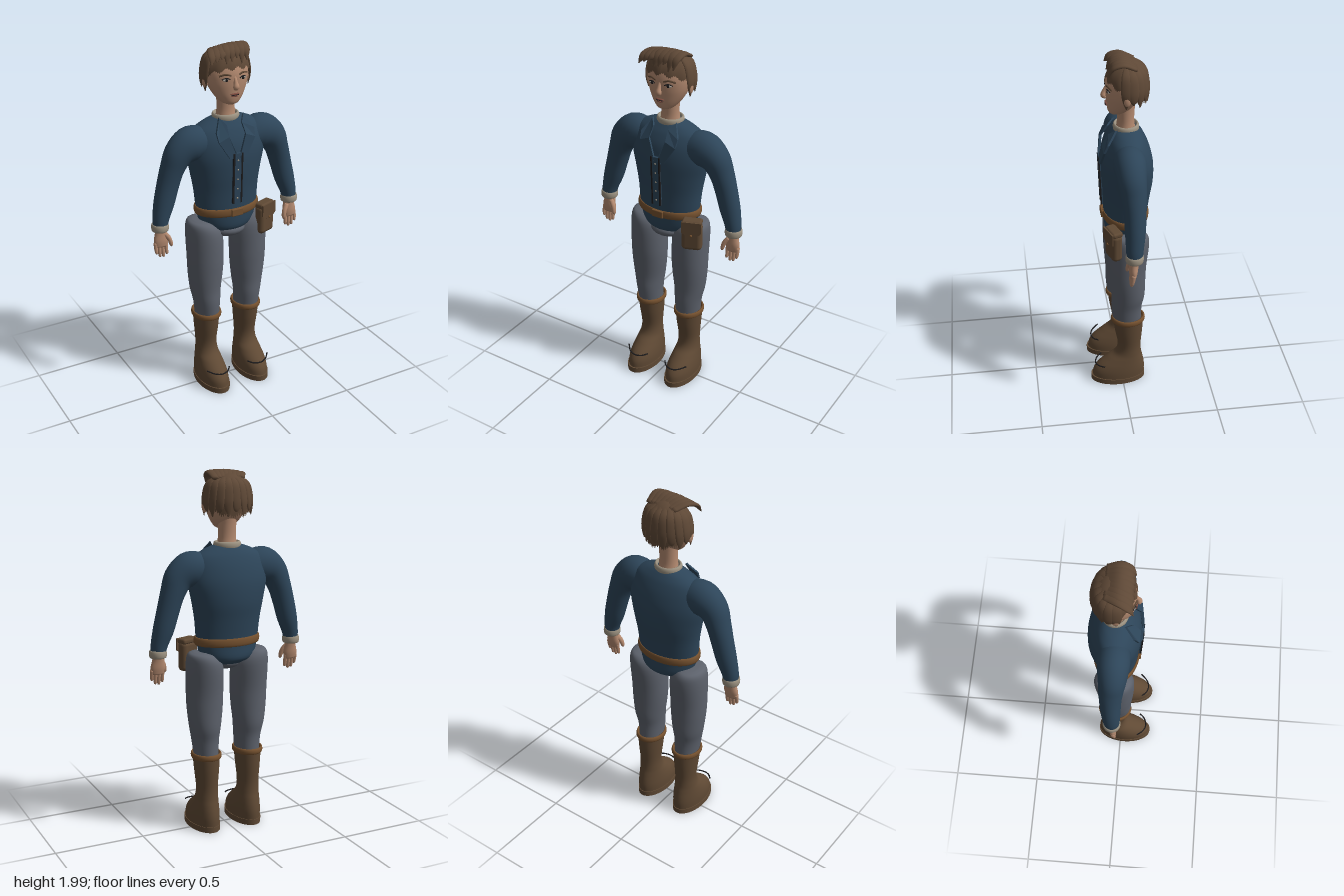
import * as THREE from 'three';
import { RoundedBoxGeometry } from 'three/addons/geometries/RoundedBoxGeometry.js';

const V = (x, y, z) => new THREE.Vector3(x, y, z);
const lerp = THREE.MathUtils.lerp;

// Smooth closed tube through rows [x, y, z, radiusA, radiusB]; ref sets the direction of radiusB
function sweep(rows, { ref = V(0, 0, 1), flat = false, seg = 28, steps = 30 } = {}) {
  const path = new THREE.CatmullRomCurve3(rows.map(r => V(r[0], r[1], r[2])), false, 'catmullrom');
  const size = new THREE.CatmullRomCurve3(rows.map(r => V(r[3], r[4], 0)), false, 'catmullrom');
  const up = V(0, Math.sign(rows[rows.length - 1][1] - rows[0][1]), 0);
  const pos = [], idx = [];
  for (let i = 0; i <= steps; i++) {
    const c = path.getPoint(i / steps), r = size.getPoint(i / steps);
    const t = flat ? up : path.getTangent(i / steps);
    const v = ref.clone().addScaledVector(t, -ref.dot(t)).normalize();
    const u = v.clone().cross(t);
    for (let j = 0; j < seg; j++) {
      const a = j / seg * Math.PI * 2;
      const p = c.clone().addScaledVector(u, Math.cos(a) * r.x).addScaledVector(v, Math.sin(a) * r.y);
      pos.push(p.x, p.y, p.z);
      if (i < steps) {
        const k = i * seg + j, n = i * seg + (j + 1) % seg;
        idx.push(k, n, k + seg, n, n + seg, k + seg);
      }
    }
  }
  // end caps
  const a = rows[0], b = rows[rows.length - 1], s = (steps + 1) * seg;
  pos.push(a[0], a[1], a[2], b[0], b[1], b[2]);
  for (let j = 0; j < seg; j++) {
    const n = (j + 1) % seg, e = steps * seg;
    idx.push(s, n, j, s + 1, e + j, e + n);
  }
  const g = new THREE.BufferGeometry();
  g.setAttribute('position', new THREE.Float32BufferAttribute(pos, 3));
  g.setIndex(idx);
  g.computeVertexNormals();
  return g;
}

// Horizontal rings from rows [y, half width, front z, back z] around x
const stack = (x, rows, opt) =>
  sweep(rows.map(([y, w, f, b]) => [x, y, (f + b) / 2, w, (f - b) / 2]), { flat: true, ...opt });
const ball = (x, y, z, a, b, c) => new THREE.SphereGeometry(1, 20, 14).scale(a, b, c).translate(x, y, z);
// Rounded band around a limb or waist
const band = (x, y, z, rx, rz, h, k = 0.1) =>
  new THREE.TorusGeometry(1, k, 12, 40).rotateX(Math.PI / 2).scale(rx, h / 2 / k, rz).translate(x, y, z);
const cord = (pts, r) => new THREE.TubeGeometry(new THREE.CatmullRomCurve3(pts.map(p => V(...p))), 16, r, 6);

// Hair shell with a hairline that drops from brow to nape
function hairCap() {
  const g = new THREE.SphereGeometry(1, 72, 28), p = g.attributes.position;
  const uv = g.attributes.uv;
  for (let i = 0; i < p.count; i++) {
    const a = uv.getX(i) * Math.PI * 2, k = 1 - uv.getY(i), front = Math.cos(a);
    const low = front > 0 ? lerp(1.80, 1.875, Math.pow(front, 0.6)) : lerp(1.80, 1.75, -front);
    const bottom = low + 0.008 * Math.sin(a * 12);
    const ang = k * Math.PI / 2;
    const full = 1.845, h = 0.13;
    const limit = bottom > full ? Math.acos((bottom - full) / h) / (Math.PI / 2) : 1;
    let y = full + h * Math.cos(ang * limit), r = Math.sin(ang * limit);
    if (bottom < full && k > 0.7) {
      const q = (k - 0.7) / 0.3, y0 = full + h * Math.cos(0.35 * Math.PI);
      y = lerp(y0, bottom, q);
      r = y > full ? Math.sqrt(1 - ((y - full) / h) ** 2) : 1 - 4 * (full - y) ** 2;
    }
    r *= 1 + 0.015 * Math.sin(a * 11 + k * 3) * k;
    p.setXYZ(i, Math.sin(a) * r * 0.13, y, -0.04 + front * r * 0.112);
  }
  g.computeVertexNormals();
  return g;
}

// Standing collar flap, curved back toward the neck
function lapel(s) {
  const pts = [[.072, 1.61], [.112, 1.545], [.108, 1.5], [.05, 1.405], [.01, 1.405], [.014, 1.43], [.05, 1.525], [.045, 1.58]];
  const shape = new THREE.Shape(pts.map(([x, y]) => new THREE.Vector2(s * x, y)));
  const g = new THREE.ExtrudeGeometry(shape, { depth: 0.012, bevelEnabled: false });
  const p = g.attributes.position;
  for (let i = 0; i < p.count; i++) {
    const y = p.getY(i), x = p.getX(i);
    p.setZ(i, p.getZ(i) + 0.1 - 4 * Math.max(0, y - 1.47) ** 2 - 1.2 * x * x);
  }
  g.computeVertexNormals();
  return g;
}

export function createModel() {
  const model = new THREE.Group();
  model.name = 'traveller';
  const mat = {};
  const colors = {
    skin: 0xb48a70, shirt: 0x2d4559, trousers: 0x5d626c, boots: 0x5f4934, hair: 0x5e4836,
    belt: 0x75512f, linen: 0x9d9382, dark: 0x1d1c1e, lips: 0x7d4c40, eyeWhite: 0xb5aca0
  };
  for (const [name, color] of Object.entries(colors)) {
    mat[name] = new THREE.MeshStandardMaterial({ color });
    mat[name].name = name;
  }
  mat.hair.side = THREE.DoubleSide;
  const add = (name, geo, m) => {
    const mesh = new THREE.Mesh(geo, mat[m]);
    mesh.name = name;
    model.add(mesh);
    return mesh;
  };

  // Torso
  add('shirt', stack(0, [
    [.955, .09, .05, -.11], [.99, .15, .078, -.15], [1.08, .176, .085, -.15], [1.2, .188, .09, -.165],
    [1.3, .205, .098, -.18], [1.4, .225, .1, -.178], [1.48, .22, .088, -.16], [1.54, .195, .062, -.135],
    [1.575, .14, .038, -.112], [1.6, .07, .018, -.09]], { seg: 48, steps: 45 }), 'shirt');
  add('crotch', ball(0, .955, -.01, .1, .045, .085), 'trousers');
  add('neckband', band(0, 1.597, -.037, .066, .06, .04, .15), 'linen');
  add('belt', band(0, 1.083, -.032, .181, .122, .046, .05), 'belt');
  add('buckle', new RoundedBoxGeometry(.07, .042, .014, 2, .005).translate(0, 1.083, .095), 'belt');

  // Shirt front
  const placket = new THREE.BoxGeometry(.056, .29, .012).rotateX(.04).translate(-.003, 1.285, .1);
  add('placket', placket, 'shirt');
  for (const x of [-.027, .021])
    add('placketSeam', new THREE.BoxGeometry(.009, .29, .008).rotateX(.04).translate(x, 1.285, .104), 'dark');
  for (let i = 0; i < 5; i++)
    add('button', ball(-.003, 1.17 + i * .055, .102 + i * .002, .005, .005, .004), 'linen');

  // Head and face
  add('neck', stack(0, [[1.57, .058, .02, -.09], [1.63, .05, .01, -.08], [1.7, .05, .012, -.082], [1.77, .055, .015, -.09]]), 'skin');
  add('head', stack(0, [
    [1.678, .022, .04, -.01], [1.69, .048, .055, -.03], [1.72, .076, .063, -.07], [1.76, .1, .067, -.1],
    [1.8, .115, .07, -.125], [1.85, .12, .069, -.138], [1.9, .112, .055, -.13], [1.94, .085, .03, -.11],
    [1.96, .03, -.01, -.06]], { seg: 40 }), 'skin');
  add('nose', sweep([[0, 1.835, .062, .008, .008], [0, 1.805, .075, .011, .011], [0, 1.782, .08, .017, .015], [0, 1.768, .068, .009, .008]], { seg: 14, steps: 14 }), 'skin');
  add('upperLip', ball(0, 1.742, .065, .026, .005, .009), 'lips');
  add('lowerLip', ball(0, 1.731, .064, .02, .005, .01), 'lips');
  add('mouthLine', ball(0, 1.737, .069, .024, .002, .005), 'dark');

  // Hair: shell, lying locks and arched fringe
  add('hairCap', hairCap(), 'hair');
  const X = V(1, 0, 0);
  for (let i = 0; i < 11; i++) {
    const a = lerp(-1.75, 1.75, i / 10), sx = Math.sin(a), cz = -Math.cos(a);
    const at = (r, y, w, d) => [sx * .131 * r, y, -.04 + cz * .108 * r, d, w];
    const side = V(Math.cos(a), 0, sx);
    add('hairLock', sweep([at(.45, 1.955, .014, .006), at(.85, 1.92, .026, .009), at(1.0, 1.85, .028, .009),
      at(1.01, 1.8, .02, .007), at(.98, 1.755 + (i % 2) * .02, .003, .002)], { ref: side, seg: 10, steps: 16 }), 'hair');
  }
  for (let i = 0; i < 8; i++) {
    const s = i / 7, root = lerp(-.06, .085, s), tip = lerp(-.132, .075, s), drop = (i % 3) * .015;
    const top = 1.986 - .02 * (1 - s) ** 2 - .008 * s * s;
    add('fringeLock', sweep([[root, 1.95, -.08, .01, .02], [lerp(root, tip, .35), top, -.015, .013, .03],
      [lerp(root, tip, .75), top - .018, .038, .011, .024], [tip, 1.895 + drop + .015 * (1 - s), .06, .002, .003]],
    { ref: X, seg: 12, steps: 18 }), 'hair');
  }

  for (const s of [1, -1]) {
    const P = (x, ...r) => [s * x, ...r];
    // Eye, brow and ear
    add('eye', ball(s * .048, 1.822, .06, .019, .008, .006), 'eyeWhite');
    add('iris', ball(s * .048, 1.822, .065, .008, .008, .004), 'dark');
    add('upperLid', cord([P(.027, 1.823, .066), P(.046, 1.832, .064), P(.07, 1.824, .054)], .003), 'dark');
    add('brow', cord([P(.022, 1.843, .067), P(.05, 1.851, .062), P(.082, 1.842, .045)], .005), 'hair');
    add('ear', ball(s * .127, 1.805, -.025, .013, .036, .02), 'skin');
    add('lapel', lapel(s), 'shirt');

    // Arm and hand
    add('sleeve', sweep([P(.14, 1.47, -.03, .085, .08), P(.215, 1.475, -.03, .098, .085), P(.28, 1.435, -.03, .082, .075),
      P(.318, 1.36, -.035, .066, .066), P(.346, 1.27, -.037, .061, .058), P(.373, 1.17, -.035, .057, .053),
      P(.396, 1.09, -.03, .046, .046), P(.403, 1.04, -.028, .04, .042)]), 'shirt');
    add('cuff', band(s * .404, 1.038, -.028, .042, .042, .042, .14), 'linen');
    add('palm', sweep([P(.402, 1.04, -.028, .028, .026), P(.402, 1.0, -.025, .034, .024), P(.404, .96, -.022, .041, .023),
      P(.406, .925, -.02, .036, .017)], { seg: 20, steps: 14 }), 'skin');
    for (let i = 0; i < 4; i++) {
      const x = .376 + i * .02, len = [.06, .072, .068, .048][i];
      add('finger', sweep([P(x, .95, -.022, .011, .013), P(x + .001, .945 - len * .5, -.017, .0105, .011),
        P(x, .942 - len, -.012, .008, .009), P(x, .935 - len, -.011, .002, .002)], { seg: 10, steps: 10 }), 'skin');
    }
    add('thumb', sweep([P(.385, 1.0, -.015, .014, .014), P(.364, .97, -.004, .013, .014), P(.355, .935, .002, .01, .011),
      P(.355, .922, .002, .002, .002)], { seg: 12, steps: 12 }), 'skin');

    // Leg
    add('trouserLeg', sweep([P(.16, 1.025, -.04, .035, .05), P(.155, 1.01, -.04, .072, .092), P(.138, .95, -.037, .1, .11),
      P(.134, .8, -.03, .103, .103), P(.134, .7, -.031, .099, .098), P(.134, .6, -.033, .087, .093),
      P(.13, .52, -.026, .075, .086), P(.126, .42, -.03, .066, .08)], { flat: true, seg: 36 }), 'trousers');

    // Boot
    add('boot', stack(s * .128, [
      [.02, .081, .174, -.13], [.07, .081, .165, -.132], [.11, .077, .135, -.128], [.15, .07, .085, -.12],
      [.19, .063, .038, -.112], [.25, .06, .024, -.11], [.35, .068, .04, -.118], [.43, .074, .05, -.122]], { seg: 36, steps: 36 }), 'boots');
    add('sole', new THREE.CylinderGeometry(1, 1, .032, 40).scale(.085, 1, .158).translate(s * .128, .016, .023), 'boots');
    add('bootCuff', band(s * .128, .434, -.035, .076, .088, .034, .1), 'belt');
    add('bootStrap', cord([P(.2, .128, .105), P(.165, .118, .142), P(.128, .113, .155), P(.085, .114, .142), P(.06, .12, .115)], .004), 'dark');
  }

  // Hip pouch
  const pouch = new THREE.Group();
  pouch.name = 'pouch';
  const bag = add('pouchBag', new RoundedBoxGeometry(.112, .165, .06, 4, .024).translate(0, -.012, 0), 'boots');
  const flapShape = new THREE.Shape([[-.054, .085], [-.054, .02], [0, -.015], [.054, .02], [.054, .085]].map(p => new THREE.Vector2(...p)));
  const flap = add('pouchFlap', new THREE.ExtrudeGeometry(flapShape, { depth: .008, bevelEnabled: false }).translate(0, 0, .029), 'boots');
  const lid = add('pouchTop', new RoundedBoxGeometry(.108, .03, .06, 3, .012).translate(0, .073, 0), 'boots');
  const stud = add('pouchStud', ball(0, .005, .038, .007, .007, .005), 'belt');
  pouch.add(bag, flap, lid, stud);
  pouch.position.set(.195, 1.0, .053);
  pouch.rotation.y = .35;
  model.add(pouch);
  return model;
}
